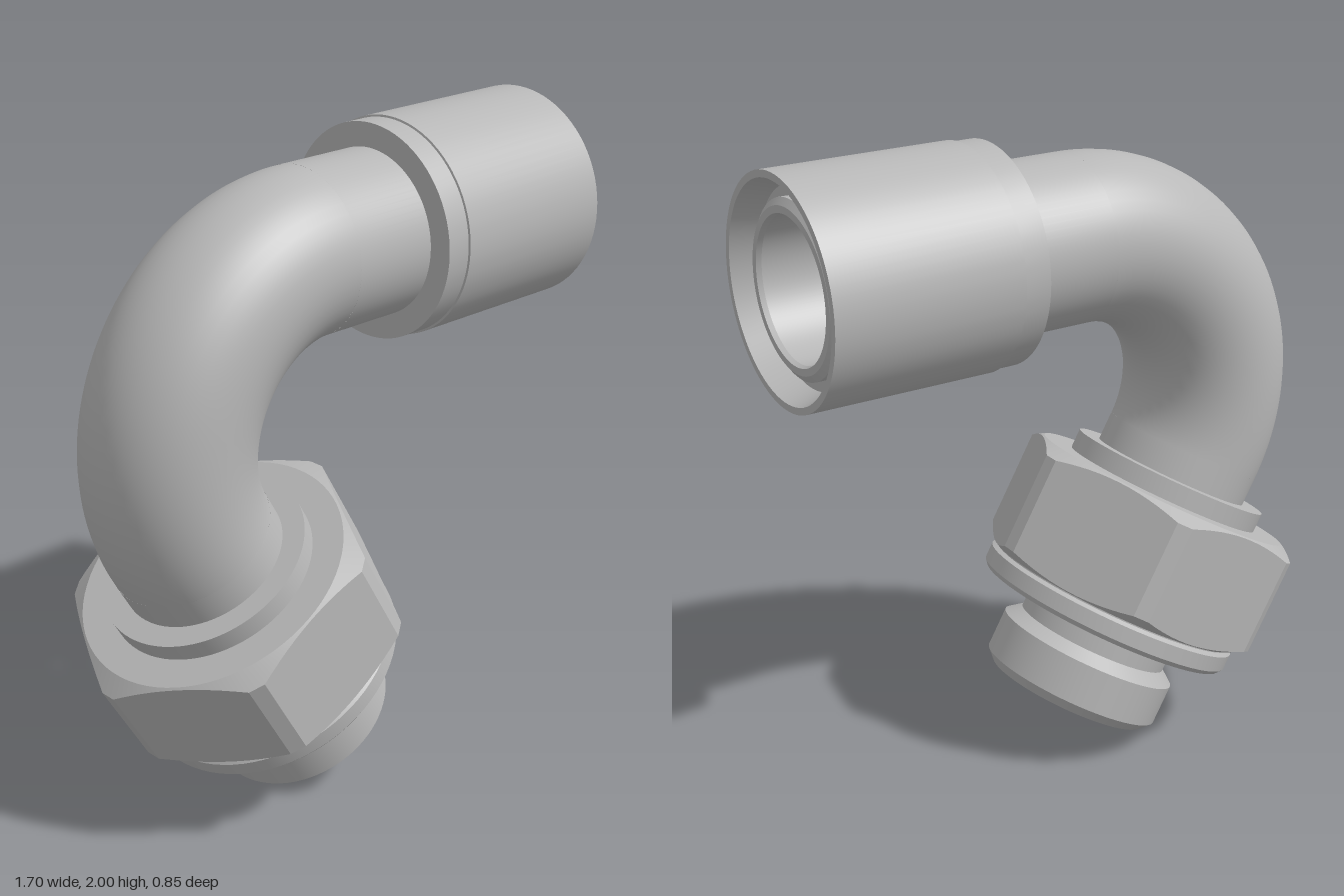
import * as THREE from 'three';
import { toCreasedNormals } from 'three/addons/utils/BufferGeometryUtils.js';

const TUBE = 0.253, BORE = 0.207, BEND = 0.51, AXIS_Y = 1.667;
const BEND_X = -0.09, BEND_Y = AXIS_Y - BEND;

// Turned part with crisp edges; points are [radius, height], outside going up
function turned(points) {
  const profile = points.map(([r, y]) => new THREE.Vector2(r, y));
  return toCreasedNormals(new THREE.LatheGeometry(profile, 80), 0.3);
}

// Hexagon nut with trimmed corners and conical chamfers; s runs down the axis
function hexNut(apothem, corner, face, top, bottom) {
  const trim = Math.acos(apothem / corner), slope = 0.55, steps = 12;
  const angles = [];
  for (let k = 0; k < 6; k++) {
    const mid = (k + 0.5) * Math.PI / 3;
    for (let i = 0; i <= steps; i++) angles.push(mid + trim * (2 * i / steps - 1));
  }
  const n = angles.length, positions = [], index = [];
  const rings = [
    () => [0.26, top],
    () => [face, top],
    (r) => [r, top + (r - face) * slope],
    (r) => [r, bottom - (r - face) * slope],
    () => [face, bottom],
    () => [0.26, bottom],
  ];
  rings.forEach((ring, j) => angles.forEach((a, i) => {
    const fromMid = (a % (Math.PI / 3)) - Math.PI / 6;
    const [r, s] = ring(Math.min(apothem / Math.cos(fromMid), corner));
    positions.push(r * Math.cos(a), -s, r * Math.sin(a));
    if (j < rings.length - 1) {
      const p = j * n + i, q = j * n + (i + 1) % n;
      index.push(p, q, p + n, q, q + n, p + n);
    }
  }));
  const geo = new THREE.BufferGeometry();
  geo.setAttribute('position', new THREE.Float32BufferAttribute(positions, 3));
  geo.setIndex(index);
  return toCreasedNormals(geo, 0.25);
}

export function createModel() {
  const model = new THREE.Group();
  const steel = new THREE.MeshStandardMaterial({ color: 0xb8b8b8, side: THREE.DoubleSide });
  steel.name = 'steel grey';
  const add = (parent, name, geometry) => {
    const mesh = new THREE.Mesh(geometry, steel);
    mesh.name = name;
    parent.add(mesh);
    return mesh;
  };

  // Bent pipe: outer wall and bore, 120 degree sweep
  for (const [name, radius] of [['pipeBend', TUBE], ['pipeBendBore', BORE]]) {
    const bend = add(model, name, new THREE.TorusGeometry(BEND, radius, 48, 64, Math.PI * 2 / 3));
    bend.position.set(BEND_X, BEND_Y, 0);
    bend.rotation.z = Math.PI / 2;
  }

  // Horizontal end: local +y points along +x
  const outlet = new THREE.Group();
  outlet.name = 'outlet';
  outlet.position.y = AXIS_Y;
  outlet.rotation.z = -Math.PI / 2;
  model.add(outlet);
  add(outlet, 'straightPipe', turned([
    [TUBE, BEND_X], [TUBE, 0.8], [0.233, 0.815], [0.212, 0.815], [BORE, 0.8], [BORE, BEND_X],
  ]));
  add(outlet, 'sleeve', turned([
    [0.25, 0.19], [0.327, 0.19], [0.327, 0.27], [0.333, 0.272], [0.333, 0.85],
    [0.312, 0.85], [0.285, 0.77], [0.25, 0.77],
  ]));

  // Slanted end: local -y runs down the axis from the end of the bend
  const inlet = new THREE.Group();
  inlet.name = 'inlet';
  inlet.position.set(
    BEND_X - BEND * Math.cos(Math.PI / 6), BEND_Y - BEND * Math.sin(Math.PI / 6), 0);
  inlet.rotation.z = Math.PI / 6;
  model.add(inlet);
  add(inlet, 'lowerPipe', turned([[TUBE, -0.12], [TUBE, 0]]));
  add(inlet, 'collar', turned([[0.322, -0.17], [0.322, -0.093], [0.25, -0.093]]));
  add(inlet, 'hexNut', hexNut(0.425, 0.477, 0.418, 0.155, 0.53));
  add(inlet, 'washerFlange', turned([
    [0.24, -0.61], [0.412, -0.61], [0.424, -0.595], [0.424, -0.545], [0.41, -0.535], [0.41, -0.51],
  ]));
  add(inlet, 'spigot', turned([
    [BORE, -0.887], [0.264, -0.887], [0.295, -0.855], [0.295, -0.725],
    [0.25, -0.69], [0.25, -0.635], [0.265, -0.605],
  ]));
  add(inlet, 'spigotBore', turned([[BORE, 0], [BORE, -0.887]]));

  return model;
}
